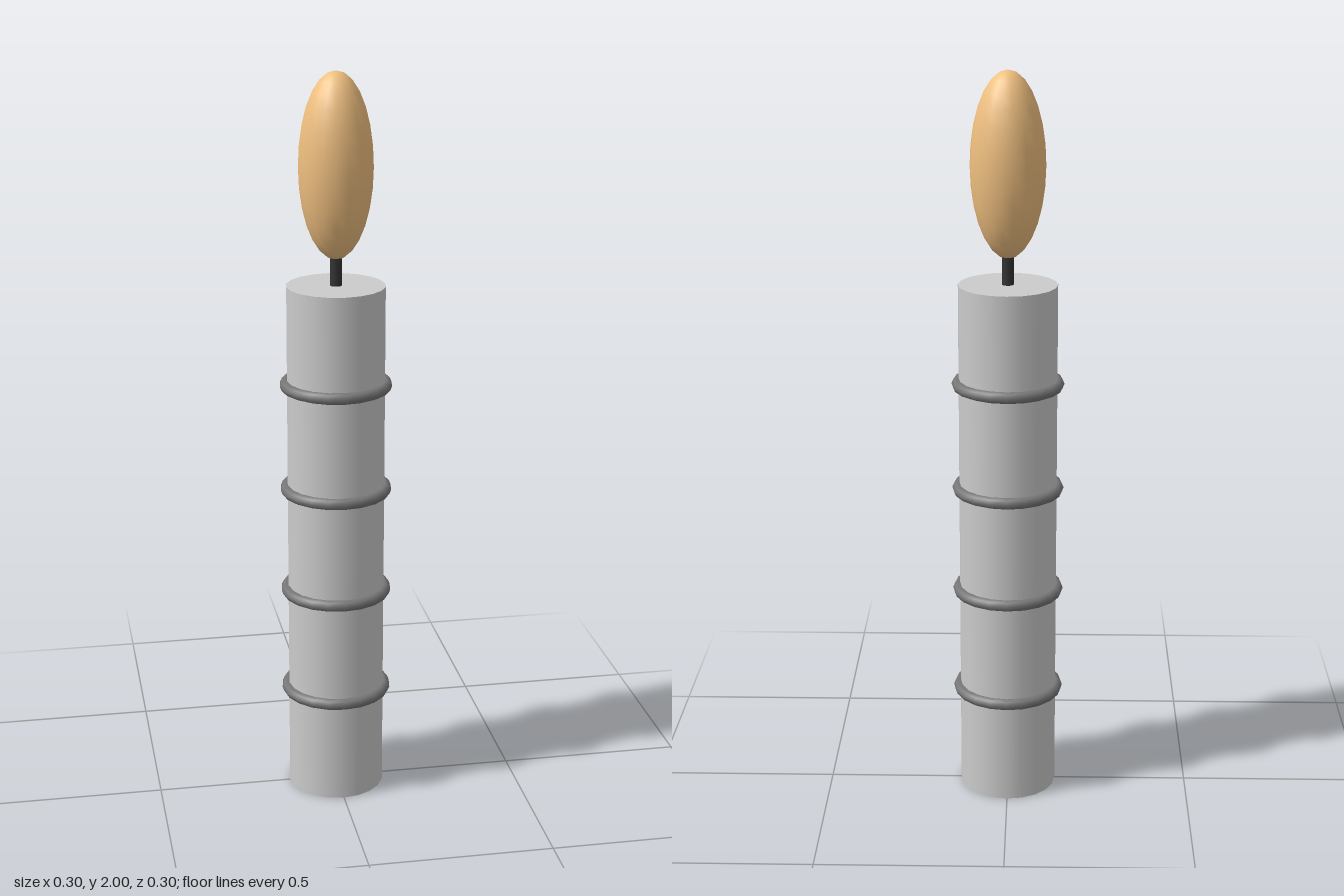
import * as THREE from 'three';

const paint = (color) => new THREE.MeshStandardMaterial({ color });

export function createModel() {
  const candle = new THREE.Group();
  candle.name = 'candle';

  const add = (name, geometry, material, y) => {
    const mesh = new THREE.Mesh(geometry, material);
    mesh.name = name;
    mesh.position.y = y;
    candle.add(mesh);
    return mesh;
  };

  // Wax column
  const height = 1.44;
  add('waxBody', new THREE.CylinderGeometry(0.132, 0.132, height, 20), paint(0xcccccc), height / 2);

  // Four evenly spaced bands round the column
  const bandMaterial = paint(0x777777);
  const bandGeometry = new THREE.TorusGeometry(0.135, 0.016, 8, 20).rotateX(Math.PI / 2);
  for (let i = 0; i < 4; i++) {
    add(`band${i + 1}`, bandGeometry, bandMaterial, 0.29 + i * 0.293);
  }

  // Wick, running up into the flame
  add('wick', new THREE.CylinderGeometry(0.016, 0.016, 0.12, 10), paint(0x333333), height + 0.05);

  // Flame: a sphere stretched upwards
  const flame = new THREE.SphereGeometry(1, 18, 14).scale(0.099, 0.245, 0.099);
  add('flame', flame, paint(0xf0c080), 1.755);

  return candle;
}
